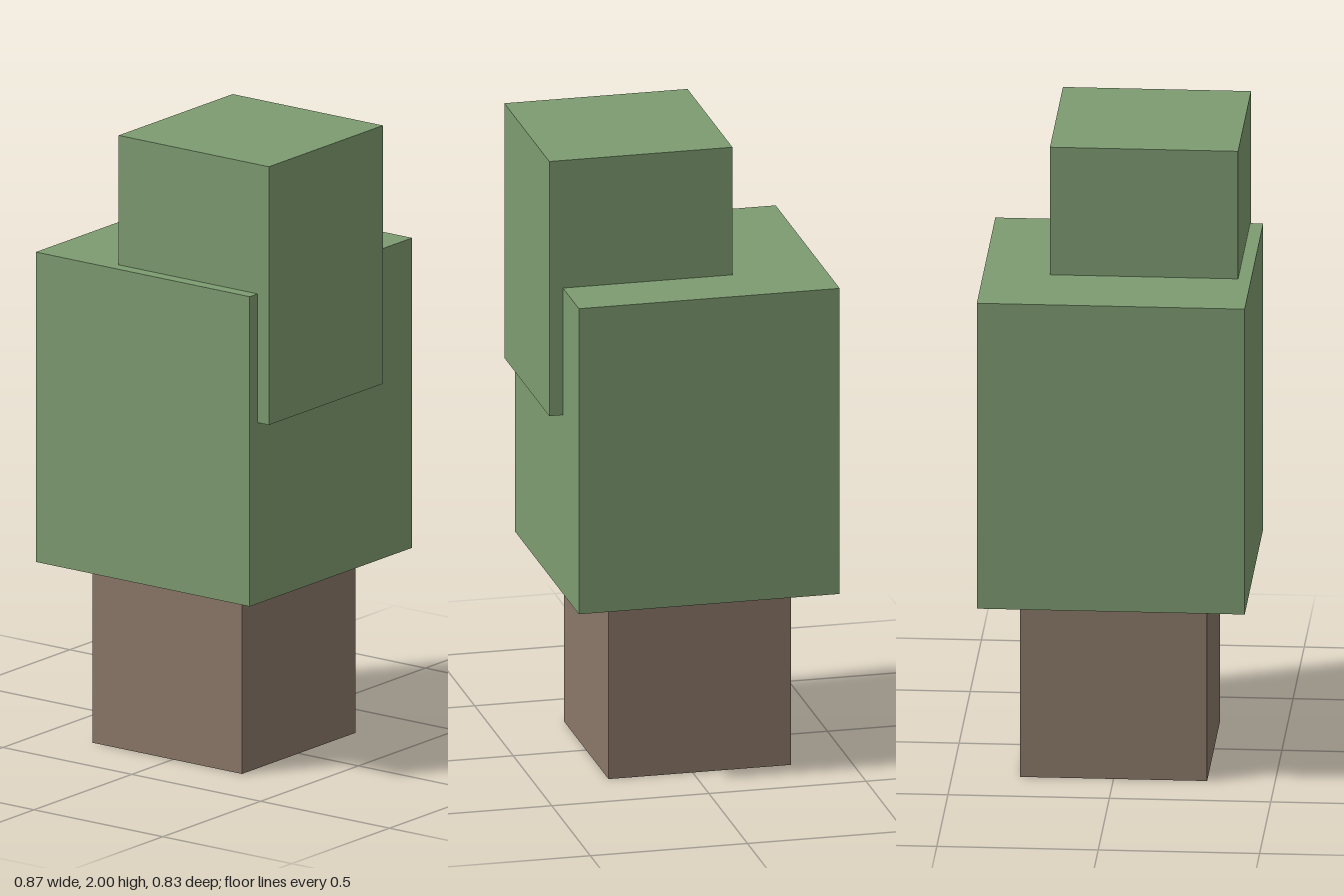
import * as THREE from 'three';

export function createModel() {
  const tree = new THREE.Group();
  tree.name = 'blockTree';

  const bark = new THREE.MeshStandardMaterial({ color: 0x8a7768, flatShading: true });
  const leaves = new THREE.MeshStandardMaterial({ color: 0x7d9b70, flatShading: true });

  // Adds a box given its size and the centre of its base
  function addBlock(name, material, [w, h, d], [x, y, z]) {
    const mesh = new THREE.Mesh(new THREE.BoxGeometry(w, h, d), material);
    mesh.name = name;
    mesh.position.set(x, y + h / 2, z);
    tree.add(mesh);
  }

  // Square trunk
  addBlock('trunk', bark, [0.58, 0.588, 0.58], [-0.022, 0, 0]);
  // Large foliage block on the trunk
  addBlock('lowerFoliage', leaves, [0.83, 0.996, 0.83], [-0.022, 0.588, 0]);
  // Smaller foliage block, sunk into the large one and jutting out on the left
  addBlock('upperFoliage', leaves, [0.583, 0.83, 0.583], [0.145, 1.17, 0.083]);

  return tree;
}
